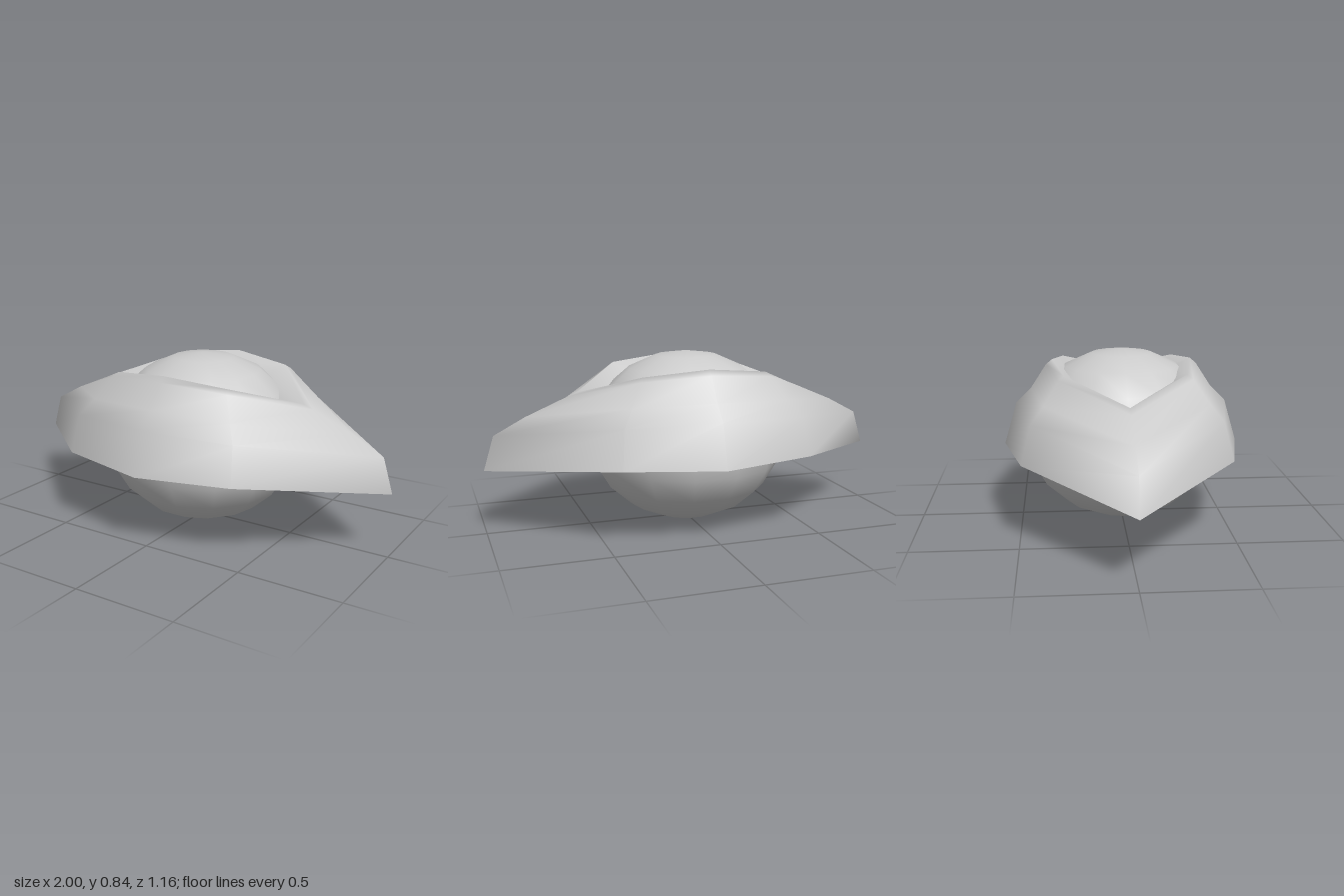
import * as THREE from 'three';

const grey = () => new THREE.MeshStandardMaterial({ color: 0xcccccc, side: THREE.DoubleSide });

// Each ring of the lids: corner [x, y], shoulder [x, y, z], middle [y, z]
const RINGS = [
  { corner: [1.0, 0.31], shoulder: [0.45, 0.38, 0.485], middle: [0.37, 0.58] },
  { corner: [0.95, 0.475], shoulder: [0.43, 0.56, 0.44], middle: [0.575, 0.52] },
  { corner: [0.8, 0.555], shoulder: [0.38, 0.635, 0.38], middle: [0.65, 0.445] },
  { corner: [0.6, 0.64], shoulder: [0.32, 0.74, 0.31], middle: [0.765, 0.37] },
  { corner: [0.55, 0.66], shoulder: [0.3, 0.76, 0.285], middle: [0.79, 0.34] },
  { corner: [0.36, 0.61], shoulder: [0.22, 0.7, 0.21], middle: [0.74, 0.25] },
];

// Mirror one quarter into a closed loop of eight points, from +x towards +z
function ringPoints({ corner: [cx, cy], shoulder: [sx, sy, sz], middle: [my, mz] }) {
  return [
    [cx, cy, 0], [sx, sy, sz], [0, my, mz], [-sx, sy, sz],
    [-cx, cy, 0], [-sx, sy, -sz], [0, my, -mz], [sx, sy, -sz],
  ];
}

// Skin the rings with quads, sharing vertices so the shading is smooth
function loft(rings) {
  const n = rings[0].length;
  const index = [];
  for (let j = 0; j < rings.length - 1; j++) {
    for (let i = 0; i < n; i++) {
      const k = (i + 1) % n;
      const a = j * n + i, b = j * n + k, c = a + n, d = b + n;
      index.push(a, c, b, b, c, d);
    }
  }
  const geometry = new THREE.BufferGeometry();
  geometry.setAttribute('position', new THREE.Float32BufferAttribute(rings.flat(2), 3));
  geometry.setIndex(index);
  geometry.computeVertexNormals();
  return geometry;
}

export function createModel() {
  const group = new THREE.Group();
  group.name = 'eye';

  // Ball resting on the ground, slightly flattened
  const ball = new THREE.Mesh(new THREE.SphereGeometry(1, 14, 10), grey());
  ball.name = 'eyeball';
  ball.scale.set(0.485, 0.42, 0.475);
  ball.position.y = 0.422;
  group.add(ball);

  // Almond-shaped lids with a lip that turns in to meet the ball
  const lids = new THREE.Mesh(loft(RINGS.map(ringPoints)), grey());
  lids.name = 'eyelids';
  group.add(lids);

  return group;
}
